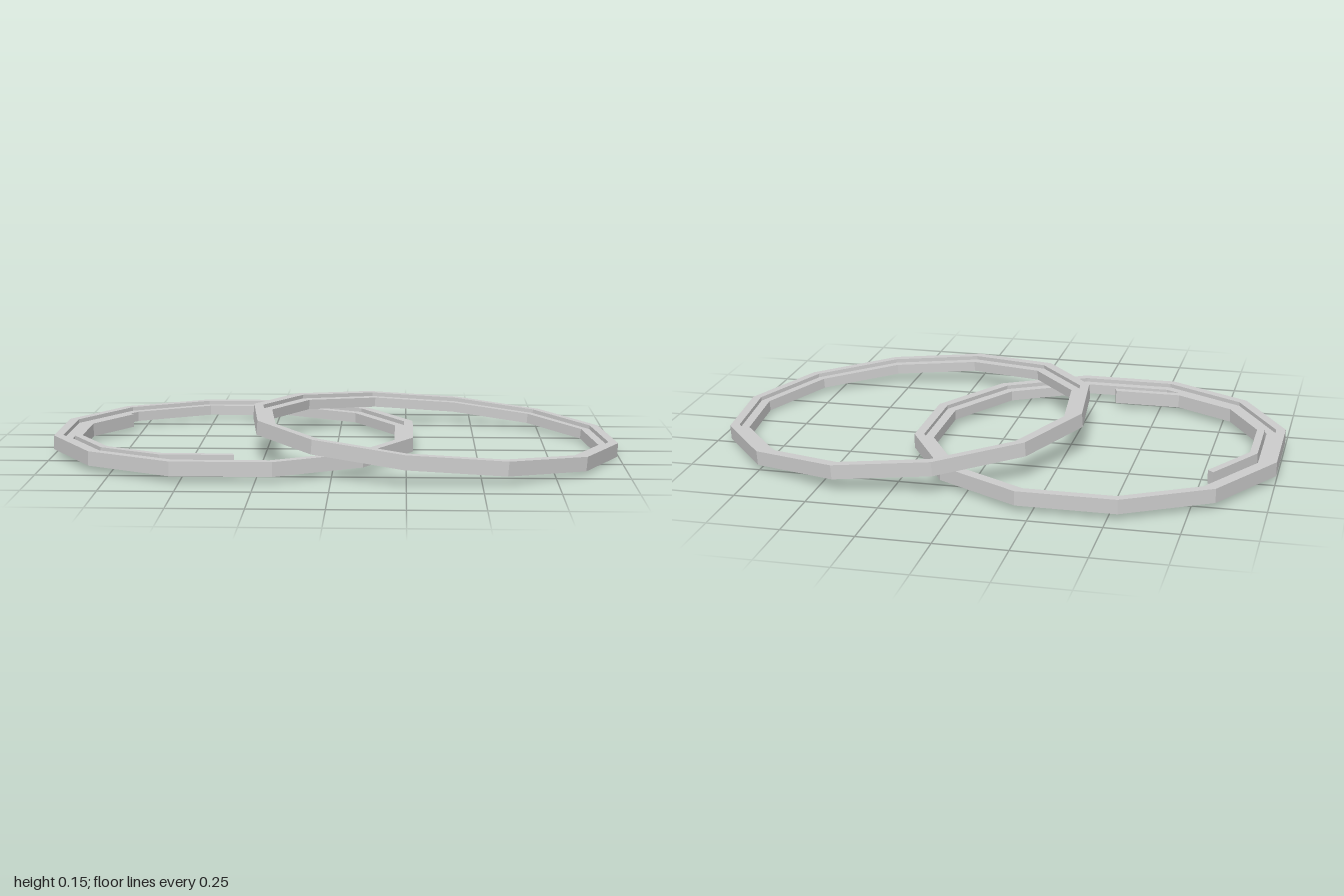
import * as THREE from 'three';

const material = new THREE.MeshStandardMaterial({ color: 0xcccccc, flatShading: true });
const SIDES = 12;

// Twelve-sided band with a lowered inner ledge, centred on its own origin
function makeRing(name) {
  const outer = 0.66, mid = 0.626, inner = 0.592, h = 0.025, ledge = 0.011;
  const profile = [
    [inner, -h], [outer, -h], [outer, h], [mid, h], [mid, ledge], [inner, ledge], [inner, -h],
  ].map(([r, y]) => new THREE.Vector2(r, y));
  const ring = new THREE.Mesh(new THREE.LatheGeometry(profile, SIDES, Math.PI / SIDES), material);
  ring.name = name;
  return ring;
}

// Thin open strip following five sides of a smaller twelve-sided ring
function makeArcStrip(name) {
  const outer = 0.489, inner = 0.461, height = 0.048;
  const angles = [75, 105, 135, 165, 195, 225].map(THREE.MathUtils.degToRad);
  const at = (r) => (a) => new THREE.Vector2(r * Math.cos(a), r * Math.sin(a));
  const shape = new THREE.Shape([...angles.map(at(outer)), ...angles.map(at(inner)).reverse()]);
  const geometry = new THREE.ExtrudeGeometry(shape, { depth: height, bevelEnabled: false });
  geometry.rotateX(Math.PI / 2).translate(0, height / 2, 0);
  const strip = new THREE.Mesh(geometry, material);
  strip.name = name;
  return strip;
}

export function createModel() {
  const model = new THREE.Group();
  model.name = 'interlockedRings';

  // Level ring
  const flatRing = makeRing('flatRing');
  flatRing.position.set(-0.363, 0.046, -0.037);

  // Ring leaning on the level one
  const tiltedRing = makeRing('tiltedRing');
  tiltedRing.position.set(0.345, 0.077, 0.013);
  tiltedRing.rotation.set(0, 0.11, -0.077, 'ZYX');

  // Loose strip inside the level ring
  const arcStrip = makeArcStrip('arcStrip');
  arcStrip.position.set(-0.455, 0.045, -0.003);

  model.add(flatRing, tiltedRing, arcStrip);
  return model;
}
